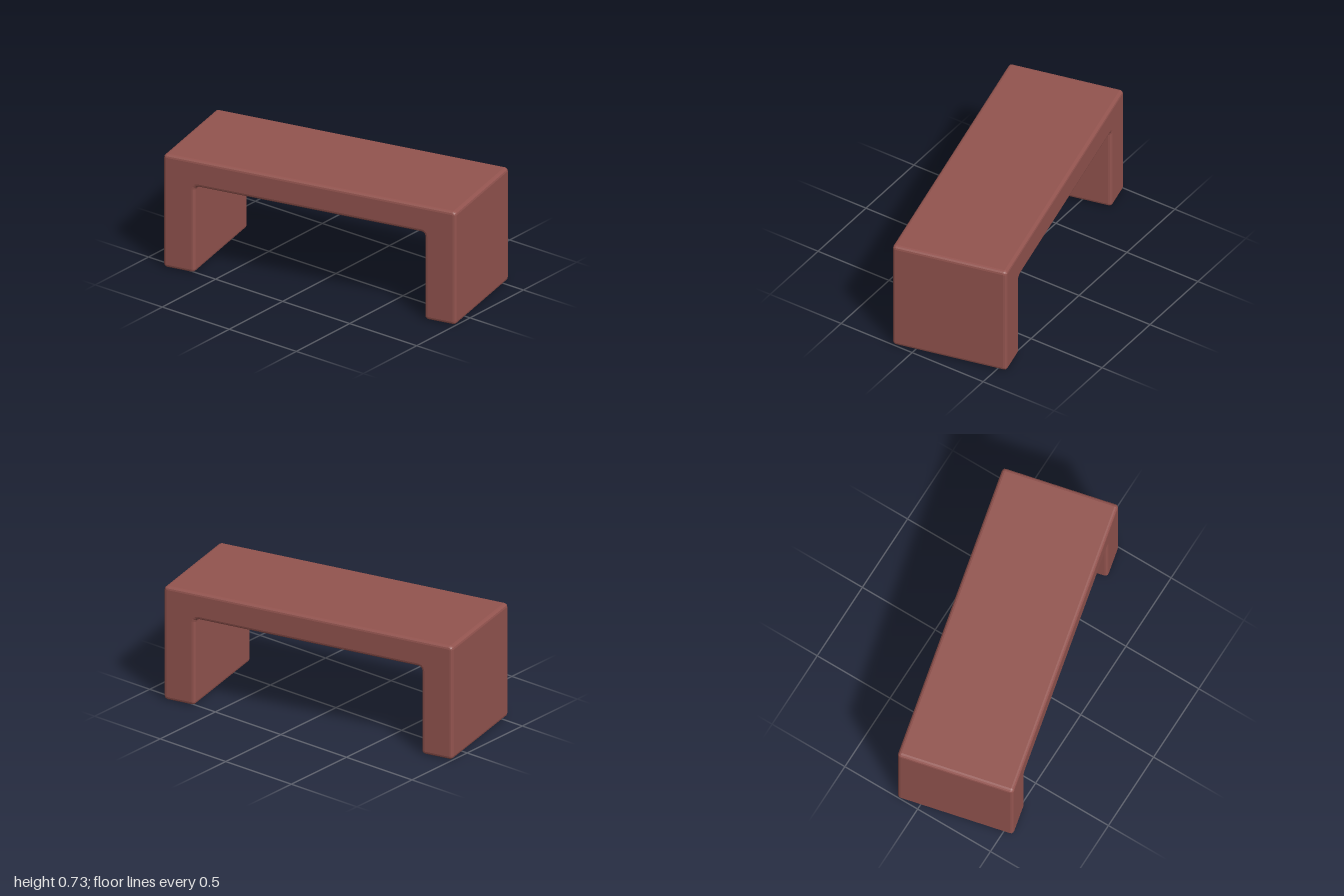
import * as THREE from 'three';

const LENGTH = 1.896, DEPTH = 0.716, HEIGHT = 0.725;
const INNER = 0.744;     // half the gap between the legs
const UNDERSIDE = 0.555;
const ROUND = 0.02;
const TURN = THREE.MathUtils.degToRad(12.8);

// Closed outline whose corners, convex or concave, are rounded by r
function roundedOutline(corners, r, steps) {
  const points = [];
  corners.forEach((c, i) => {
    const corner = new THREE.Vector2(...c);
    const prev = new THREE.Vector2(...corners.at(i - 1));
    const next = new THREE.Vector2(...corners[(i + 1) % corners.length]);
    const a = prev.sub(corner).setLength(r);
    const b = next.sub(corner).setLength(r);
    for (let k = 0; k <= steps; k++) {
      const t = (k / steps) * Math.PI / 2;
      points.push(corner.clone()
        .addScaledVector(a, 1 - Math.sin(t))
        .addScaledVector(b, 1 - Math.cos(t)));
    }
  });
  return new THREE.Shape(points);
}

export function createModel() {
  const group = new THREE.Group();
  group.name = 'bench';
  const material = new THREE.MeshStandardMaterial({ color: 0x93544f });

  // Seat and both legs are one continuous slab with softened edges
  const h = LENGTH / 2;
  const outline = roundedOutline([
    [-h, 0], [-INNER, 0], [-INNER, UNDERSIDE], [INNER, UNDERSIDE],
    [INNER, 0], [h, 0], [h, HEIGHT], [-h, HEIGHT],
  ], ROUND + 0.002, 3);
  const geometry = new THREE.ExtrudeGeometry(outline, {
    depth: DEPTH - 2 * ROUND,
    bevelEnabled: true,
    bevelSize: ROUND,
    bevelThickness: ROUND,
    bevelOffset: -ROUND,
    bevelSegments: 3,
  });
  geometry.translate(0, 0, -DEPTH / 2 + ROUND);

  const bench = new THREE.Mesh(geometry, material);
  bench.name = 'seatAndLegs';
  bench.rotation.y = TURN;
  group.add(bench);
  return group;
}
